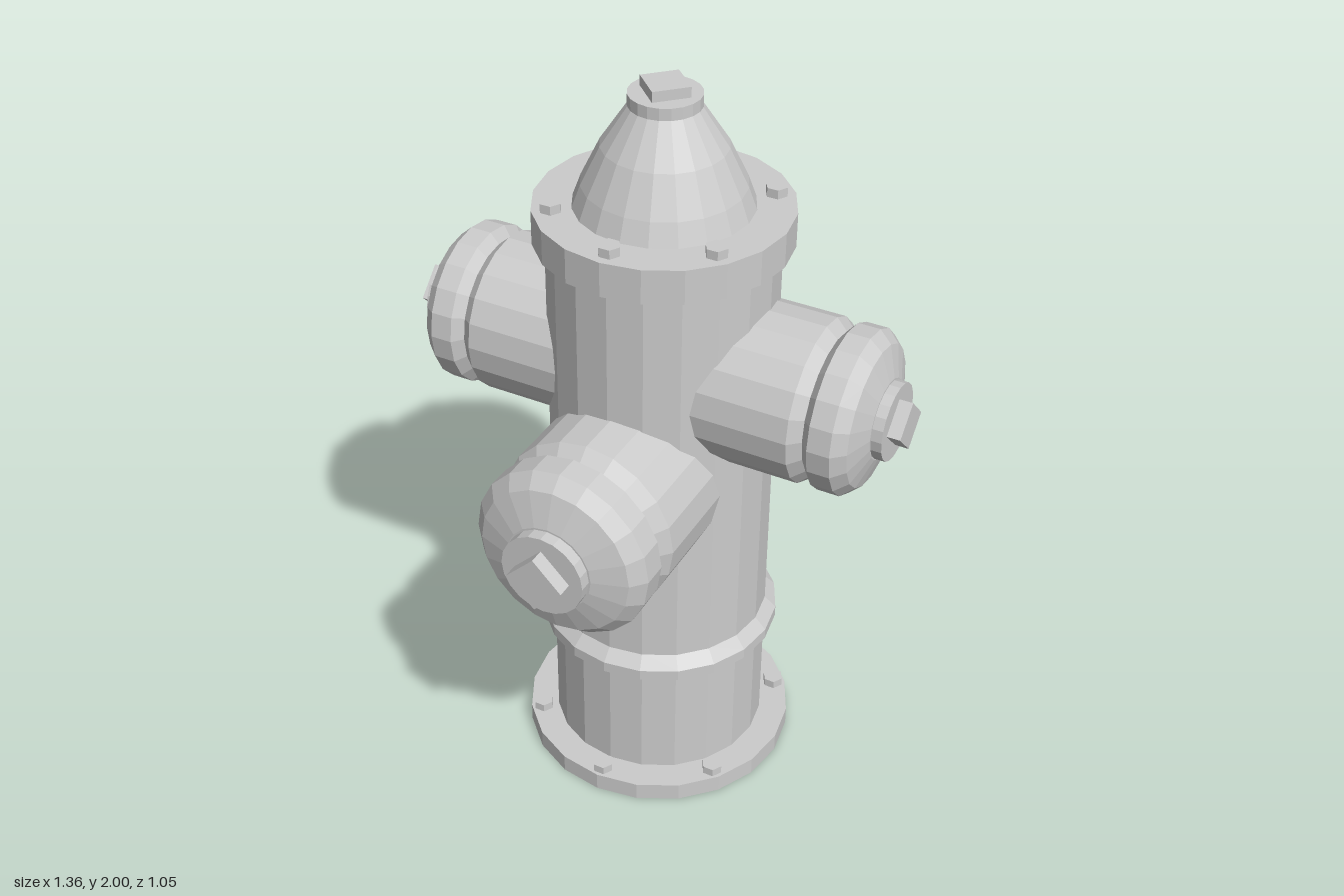
import * as THREE from 'three';

const SIDES = 20;
const AXIS_Z = -0.152;
const mat = new THREE.MeshStandardMaterial({ color: 0xcccccc, flatShading: true, side: THREE.DoubleSide });

// Turned part from [radius, height] pairs, listed bottom to top
function turned(name, profile) {
  const points = profile.map(([r, y]) => new THREE.Vector2(r, y));
  const mesh = new THREE.Mesh(new THREE.LatheGeometry(points, SIDES), mat);
  mesh.name = name;
  return mesh;
}

// Straight prism standing on y
function prism(name, r, y, height, sides = SIDES) {
  const mesh = new THREE.Mesh(new THREE.CylinderGeometry(r, r, height, sides), mat);
  mesh.position.y = y + height / 2;
  mesh.name = name;
  return mesh;
}

// Ring of six hex bolts
function boltRing(name, radius, y) {
  const ring = new THREE.Group();
  ring.name = name;
  for (const deg of [0, 53.5, 126.5, 180, 233.5, 306.5]) {
    const a = THREE.MathUtils.degToRad(deg);
    const bolt = prism('bolt', 0.029, y, 0.026, 6);
    bolt.rotation.y = Math.PI / 6 + Math.PI / 3 * 1;
    bolt.position.x = Math.sin(a) * radius;
    bolt.position.z = Math.cos(a) * radius;
    ring.add(bolt);
  }
  return ring;
}

// Hose outlet along +y: r = radius, start/neck/end = distances along its axis
function outlet(name, r, start, neck, end, nutRadius) {
  const g = new THREE.Group();
  g.name = name;
  const at = t => neck + (end - neck) * t;
  g.add(turned('outletPipe', [[0, start], [r, start], [r, neck], [r * 0.87, at(0.13)], [0, at(0.13)]]));
  g.add(turned('outletCap', [
    [0, at(0.12)], [r * 0.87, at(0.13)], [r, at(0.23)], [r, at(0.48)],
    [r * 0.86, at(0.62)], [r * 0.49, at(0.73)], [0, at(0.73)],
  ]));
  g.add(prism('capWasher', r * 0.47, at(0.72), at(0.85) - at(0.72)));
  g.add(prism('capNut', nutRadius, at(0.84), end - at(0.84), 4));
  return g;
}

export function createModel() {
  const model = new THREE.Group();
  model.name = 'fireHydrant';

  // Upright body
  const body = new THREE.Group();
  body.name = 'body';
  body.position.z = AXIS_Z;
  body.add(
    prism('basePlate', 0.373, 0, 0.052),
    prism('barrel', 0.294, 0.05, 1.55),
    turned('barrelBand', [[0.29, 0.375], [0.325, 0.406], [0.325, 0.437], [0.29, 0.473]]),
    prism('topFlange', 0.325, 1.59, 0.092),
    turned('bonnet', [[0, 1.68], [0.227, 1.68], [0.205, 1.74], [0.157, 1.84], [0.088, 1.944], [0, 1.944]]),
    prism('bonnetCollar', 0.091, 1.942, 0.031),
    prism('bonnetNut', 0.068, 1.97, 0.03, 4),
    boltRing('baseBolts', 0.338, 0.05),
    boltRing('flangeBolts', 0.277, 1.68),
  );
  model.add(body);

  // Two side outlets
  for (const s of [1, -1]) {
    const side = outlet(s > 0 ? 'leftOutlet' : 'rightOutlet', 0.214, 0.1, 0.445, 0.68, 0.068);
    side.rotation.z = -s * Math.PI / 2;
    side.position.set(0, 1.25, -0.144);
    model.add(side);
  }

  // Large front outlet
  const front = outlet('frontOutlet', 0.239, -0.1, 0.261, 0.527, 0.076);
  front.rotation.x = Math.PI / 2;
  front.position.set(0.008, 0.979, 0);
  model.add(front);

  return model;
}
